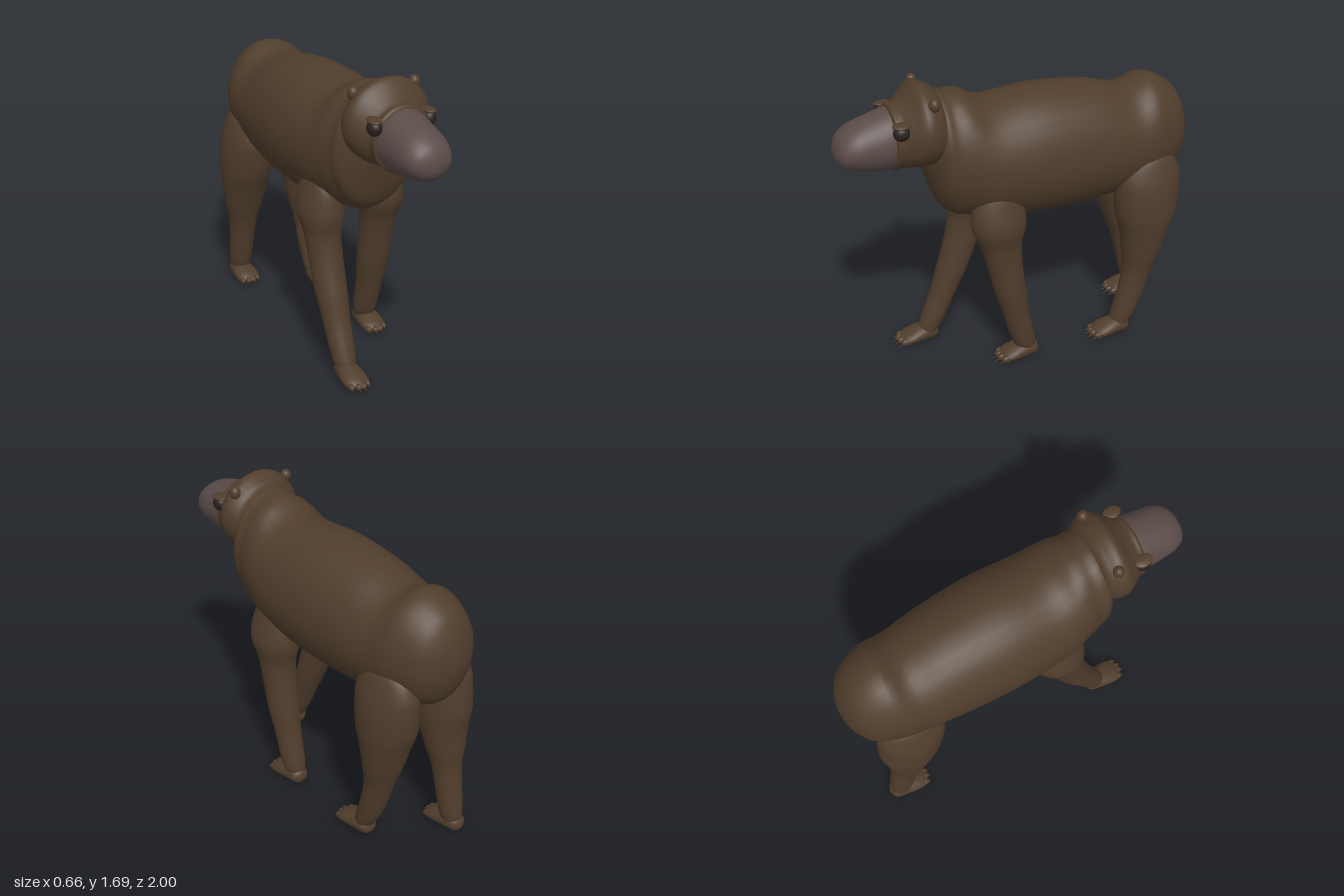
import * as THREE from 'three';

const mat = (name, color) => {
  const m = new THREE.MeshStandardMaterial({ color });
  m.name = name;
  return m;
};

// Smooth interpolation between profile rows
function sampleRows(rows, steps) {
  const out = [];
  const at = i => rows[Math.max(0, Math.min(rows.length - 1, i))];
  for (let i = 0; i < rows.length - 1; i++) {
    for (let s = 0; s < steps; s++) {
      const t = s / steps, a = at(i - 1), b = at(i), c = at(i + 1), d = at(i + 2);
      out.push(b.map((_, k) => b[k] + 0.5 * t * (c[k] - a[k]
        + t * (2 * a[k] - 5 * b[k] + 4 * c[k] - d[k] + t * (3 * (b[k] - c[k]) + d[k] - a[k])))));
    }
  }
  out.push(at(rows.length));
  return out;
}

// Elliptical loft over sampled rows; place(row, cos, sin) gives each point
function loft(rows, place, sides = 32, steps = 5) {
  const rings = sampleRows(rows, steps), pos = [], index = [];
  for (const row of rings) {
    for (let j = 0; j < sides; j++) {
      const a = (j / sides) * Math.PI * 2;
      pos.push(...place(row, Math.cos(a), Math.sin(a)));
    }
  }
  for (let i = 0; i < rings.length - 1; i++) {
    for (let j = 0; j < sides; j++) {
      const a = i * sides + j, b = i * sides + (j + 1) % sides;
      index.push(a, b, a + sides, b, b + sides, a + sides);
    }
  }
  const g = new THREE.BufferGeometry();
  g.setAttribute('position', new THREE.Float32BufferAttribute(pos, 3));
  g.setIndex(index);
  g.computeVertexNormals();
  return g;
}

// Rows [z, centre y, half width, half height], running forward
const alongZ = ([z, y, w, h], c, s) => [Math.max(w, 0) * c, y + Math.max(h, 0) * s, z];

export function createModel() {
  const fur = mat('brown fur', 0x503d2c);
  const muzzle = mat('grey brown muzzle', 0x5a4b48);
  const dark = mat('dark eye', 0x2a211d);
  const claw = mat('dark claw', 0x2c2522);

  const model = new THREE.Group();
  model.name = 'animal';
  const add = (parent, name, geo, m, p = [0, 0, 0], s = [1, 1, 1]) => {
    const mesh = new THREE.Mesh(geo, m);
    mesh.name = name;
    mesh.position.set(...p);
    mesh.scale.set(...s);
    parent.add(mesh);
    return mesh;
  };
  const ball = new THREE.SphereGeometry(1, 32, 24);

  // Rounded rump, trunk and neck in one skin
  add(model, 'body', loft([
    [-1, 1.2, 0, 0], [-0.993, 1.2, 0.058, 0.073], [-0.965, 1.2, 0.13, 0.165], [-0.9, 1.2, 0.205, 0.26],
    [-0.76, 1.2, 0.262, 0.325], [-0.62, 1.18, 0.276, 0.305], [-0.4, 1.193, 0.3, 0.347],
    [-0.1, 1.207, 0.315, 0.36], [0.18, 1.215, 0.3, 0.337], [0.32, 1.262, 0.275, 0.353],
    [0.4, 1.277, 0.25, 0.345], [0.48, 1.327, 0.22, 0.29], [0.58, 1.42, 0, 0]], alongZ), fur);

  // Head
  const head = new THREE.Group();
  head.name = 'head';
  model.add(head);
  add(head, 'skull', loft([
    [0.43, 1.46, 0, 0], [0.45, 1.46, 0.18, 0.165], [0.5, 1.465, 0.232, 0.21], [0.56, 1.47, 0.24, 0.222],
    [0.62, 1.442, 0.207, 0.192], [0.67, 1.425, 0.17, 0.173], [0.71, 1.418, 0.153, 0.164],
    [0.72, 1.418, 0, 0]], alongZ), fur);
  add(head, 'snout', loft([
    [0.68, 1.42, 0.145, 0.15], [0.71, 1.417, 0.152, 0.163], [0.8, 1.407, 0.146, 0.149],
    [0.9, 1.401, 0.136, 0.122], [0.965, 1.392, 0.106, 0.086], [0.993, 1.385, 0.052, 0.042],
    [1, 1.385, 0, 0]], alongZ), muzzle);
  for (const s of [1, -1]) {
    add(head, 'ear', ball, fur, [s * 0.175, 1.63, 0.515], [0.03, 0.036, 0.03]);
    add(head, 'eye', ball, dark, [s * 0.153, 1.502, 0.684], [0.038, 0.042, 0.044]);
    const lid = add(head, 'eyelid', ball, fur, [s * 0.154, 1.541, 0.682], [0.036, 0.012, 0.05]);
    lid.rotation.z = s * -0.08;
  }

  // Foot with a flat sole, toes and claws, measured from the heel
  const footGeo = loft([
    [0, 0.04, 0, 0], [0.02, 0.045, 0.045, 0.04], [0.08, 0.05, 0.062, 0.052],
    [0.2, 0.034, 0.068, 0.032], [0.25, 0.03, 0, 0]], (row, c, s) => {
    const [x, y, z] = alongZ(row, c, s);
    return [x, Math.max(y, 0.004), z];
  }, 24);
  const clawGeo = new THREE.ConeGeometry(0.009, 0.045, 8).rotateX(Math.PI / 2 + 0.35);
  function foot(parent, x, z) {
    const f = new THREE.Group();
    f.name = 'foot';
    f.position.set(x, 0, z);
    parent.add(f);
    add(f, 'paw', footGeo, fur);
    for (let i = 0; i < 4; i++) {
      const u = (i - 1.5) / 1.5, dz = -0.016 * u * u;
      add(f, 'toe', ball, fur, [u * 0.048, 0.028, 0.225 + dz], [0.017, 0.022, 0.032]);
      add(f, 'claw', clawGeo, claw, [u * 0.05, 0.016, 0.262 + dz]);
    }
  }

  // Leg profiles: rows [y, half width, half depth], from top to ankle
  const frontProfile = [[1.12, 0, 0], [1.1, 0.06, 0.08], [1.0, 0.098, 0.14], [0.88, 0.122, 0.152],
    [0.76, 0.098, 0.115], [0.6, 0.092, 0.097], [0.45, 0.088, 0.09], [0.3, 0.075, 0.075],
    [0.08, 0.06, 0.062], [0.03, 0, 0]];
  const hindProfile = [[1.14, 0, 0], [1.12, 0.07, 0.12], [1.02, 0.115, 0.185], [0.92, 0.138, 0.193],
    [0.78, 0.143, 0.18], [0.66, 0.13, 0.143], [0.52, 0.107, 0.112], [0.38, 0.08, 0.083],
    [0.08, 0.06, 0.062], [0.03, 0, 0]];

  // Each leg swings forward or back by its stride towards the ankle
  function leg(name, side, profile, hipZ, stride, power) {
    const g = new THREE.Group();
    g.name = name;
    model.add(g);
    add(g, 'limb', loft(profile, ([y, w, d], c, s) => {
      const drop = Math.min(1, Math.max(0, (0.95 - y) / 0.9));
      return [side * 0.187 + Math.max(w, 0) * c, y, hipZ + stride * drop ** power + Math.max(d, 0) * s];
    }), fur);
    foot(g, side * 0.19, hipZ + stride - 0.072);
  }
  leg('leftFrontLeg', 1, frontProfile, 0.185, -0.165, 1.5);
  leg('rightFrontLeg', -1, frontProfile, 0.185, 0.3, 1.4);
  leg('leftHindLeg', 1, hindProfile, -0.71, 0.15, 2.8);
  leg('rightHindLeg', -1, hindProfile, -0.71, -0.15, 1.15);
  return model;
}
